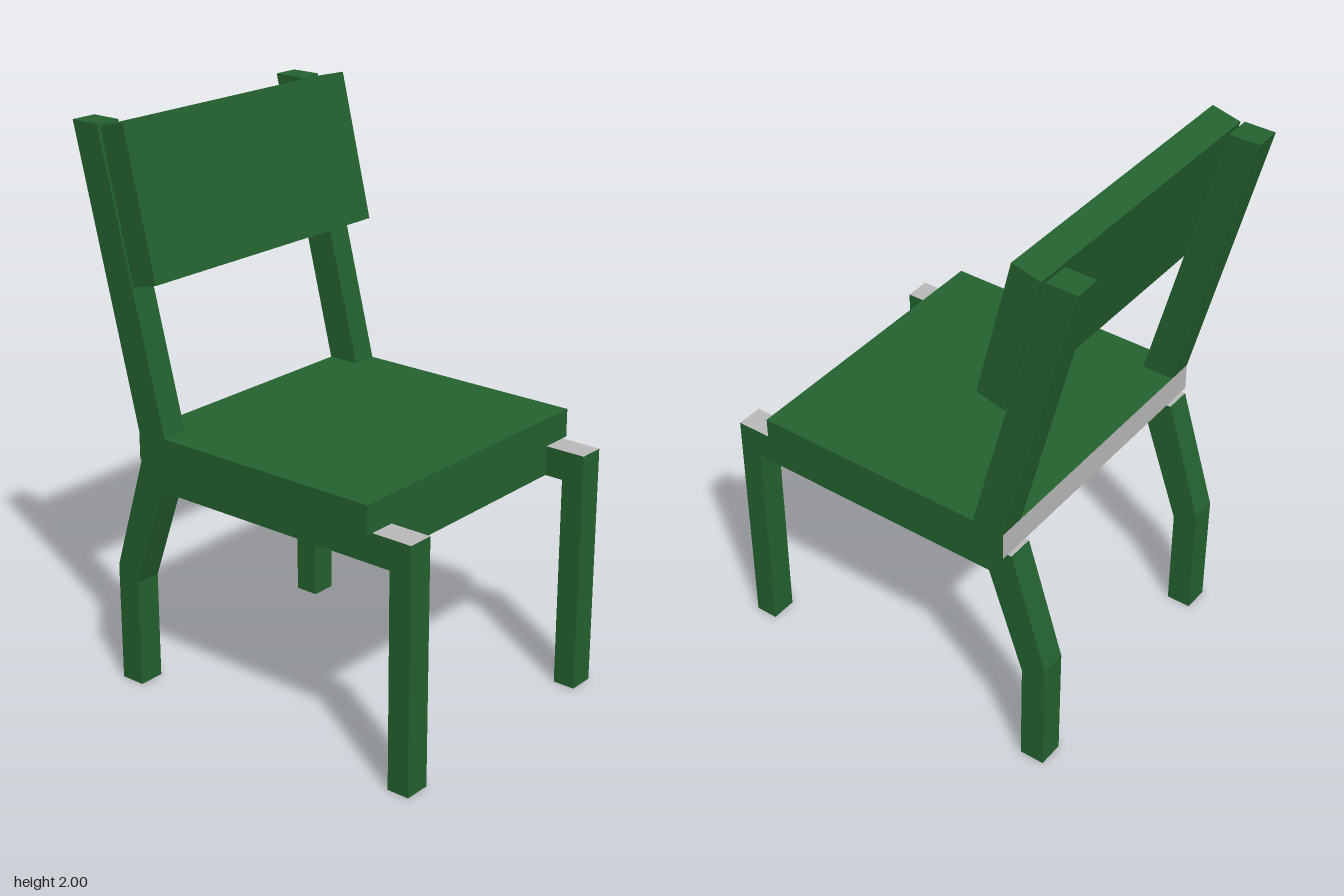
import * as THREE from 'three';

const green = new THREE.MeshStandardMaterial({ color: 0x24622f });
green.name = 'green paint';
const grey = new THREE.MeshStandardMaterial({ color: 0xbababa });
grey.name = 'bare grey';

// Extrude a side profile of [z, y] points across the width x0..x1
function slab(profile, x0, x1) {
  const shape = new THREE.Shape(profile.map(([z, y]) => new THREE.Vector2(-z, y)));
  const geo = new THREE.ExtrudeGeometry(shape, { depth: x1 - x0, bevelEnabled: false });
  geo.rotateY(Math.PI / 2);
  geo.translate(x0, 0, 0);
  return geo;
}

// Regroup triangles so faces whose normal passes the test are grey
function leaveBare(geo, isBare) {
  const n = geo.attributes.normal;
  geo.clearGroups();
  for (let i = 0; i < n.count; i += 3) {
    geo.addGroup(i, 3, isBare(n.getY(i), n.getZ(i)) ? 1 : 0);
  }
  return geo;
}

export function createModel() {
  const chair = new THREE.Group();
  chair.name = 'chair';
  const add = (name, geo, material = green) => {
    const mesh = new THREE.Mesh(geo, material);
    mesh.name = name;
    chair.add(mesh);
  };

  // Side frames: front leg, rail and kinked back leg in one piece
  const frame = [
    [0.685, 0], [0.685, 0.87], [-0.45, 0.87], [-0.585, 0.435], [-0.585, 0],
    [-0.495, 0], [-0.495, 0.39], [-0.362, 0.765], [0.603, 0.765], [0.603, 0],
  ];
  // Raked posts standing on the seat
  const post = [[-0.318, 0.97], [-0.435, 0.97], [-0.685, 1.98], [-0.575, 1.98]];

  for (const [side, s] of [['left', 1], ['right', -1]]) {
    const span = (a, b) => (s > 0 ? [a, b] : [-b, -a]);
    add(side + 'LegFrame',
      leaveBare(slab(frame, ...span(0.42, 0.515)), (ny) => ny > 0.9), [green, grey]);
    add(side + 'BackPost', slab(post, ...span(0.445, 0.54)));
  }

  // Seat board, unpainted underneath and behind
  const seat = [[0.535, 0.87], [0.535, 0.97], [-0.435, 0.97], [-0.435, 0.87]];
  add('seat', leaveBare(slab(seat, -0.54, 0.54), (ny, nz) => ny < -0.9 || nz < -0.9),
    [green, grey]);

  // Panel between the rails
  add('seatSupport', slab([[0.535, 0.765], [0.535, 0.87], [-0.29, 0.87], [-0.29, 0.765]], -0.42, 0.42));

  // Tilted backrest
  add('backrest', slab([[-0.335, 1.49], [-0.458, 2], [-0.56, 1.975], [-0.437, 1.465]], -0.54, 0.54));

  return chair;
}
